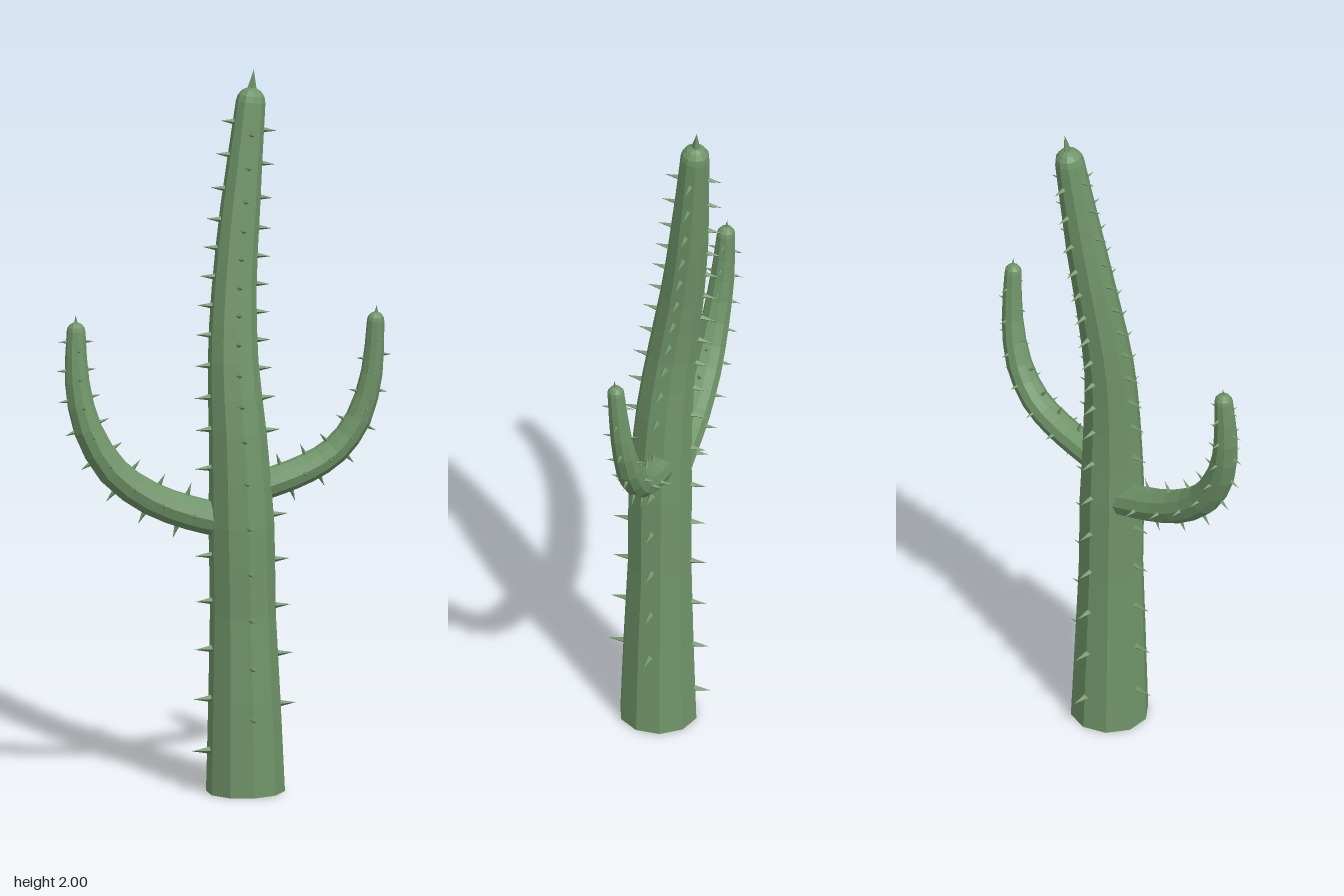
import * as THREE from 'three';
import { mergeGeometries } from 'three/addons/utils/BufferGeometryUtils.js';

const SIDES = 10;
const Z = new THREE.Vector3(0, 0, 1);
const UP = new THREE.Vector3(0, 1, 0);

// Centre line through [x, y, z, radius] stations, with a frame and radius at any t
function makeLimb(stations) {
  const curve = new THREE.CatmullRomCurve3(stations.map(([x, y, z]) => new THREE.Vector3(x, y, z)));
  const last = stations.length - 1;
  const frame = (t) => {
    const i = Math.min(Math.floor(t * last), last - 1);
    const r = THREE.MathUtils.lerp(stations[i][3], stations[i + 1][3], t * last - i);
    const tangent = curve.getTangent(t);
    const front = Z.clone().addScaledVector(tangent, -Z.dot(tangent)).normalize();
    const side = tangent.clone().cross(front);
    return { p: curve.getPoint(t), r, tangent, front, side };
  };
  return { frame, last };
}

// Radial direction in a frame; angle 0 is the side, 90 degrees the front
function radial(f, a) {
  return f.side.clone().multiplyScalar(Math.cos(a)).addScaledVector(f.front, Math.sin(a));
}

// Faceted tapering skin, open at the root and closed by a dome at the tip
function skin({ frame, last }) {
  const pos = [], index = [], rings = [];
  const count = last * 2;
  for (let i = 0; i <= count; i++) rings.push([frame(i / count), 1, 0]);
  for (const a of [0.45, 0.9, 1.25, Math.PI / 2]) rings.push([frame(1), Math.cos(a), Math.sin(a)]);
  rings.forEach(([f, scale, rise], k) => {
    for (let j = 0; j < SIDES; j++) {
      const v = f.p.clone()
        .addScaledVector(radial(f, ((j + 0.5) / SIDES) * Math.PI * 2), f.r * scale)
        .addScaledVector(f.tangent, f.r * rise);
      pos.push(v.x, v.y, v.z);
      if (k === 0) continue;
      const a = (k - 1) * SIDES + j, b = (k - 1) * SIDES + (j + 1) % SIDES;
      index.push(a, a + SIDES, b, b, a + SIDES, b + SIDES);
    }
  });
  const g = new THREE.BufferGeometry();
  g.setAttribute('position', new THREE.Float32BufferAttribute(pos, 3));
  g.setIndex(index);
  g.computeVertexNormals();
  // Face the winding outward whatever the handedness of the frame
  const f = frame(0), n = new THREE.Vector3().fromBufferAttribute(g.attributes.normal, 0);
  if (n.dot(radial(f, Math.PI / SIDES)) < 0) {
    g.setIndex(index.reverse());
    g.computeVertexNormals();
  }
  return g;
}

// One four-sided thorn standing on a point
function thorn(p, dir, length, width) {
  const g = new THREE.ConeGeometry(width, length, 4);
  g.translate(0, length / 2 - 0.006, 0);
  g.applyQuaternion(new THREE.Quaternion().setFromUnitVectors(UP, dir));
  return g.translate(p.x, p.y, p.z);
}

export function createModel() {
  const green = new THREE.MeshStandardMaterial({
    color: 0x6f9468, flatShading: true, side: THREE.DoubleSide,
  });
  const group = new THREE.Group();
  group.name = 'cactus';

  function addLimb(name, stations, columns, spacing, thornSize, tipLength) {
    const limb = makeLimb(stations);
    const body = new THREE.Mesh(skin(limb), green);
    body.name = name;

    // Four columns of thorns, closer together and shorter towards the tip
    const thorns = [];
    columns.forEach((start, c) => {
      for (let t = start; t < 0.985; t += spacing[0] + (spacing[1] - spacing[0]) * t) {
        const f = limb.frame(t), dir = radial(f, (c * Math.PI) / 2);
        const size = THREE.MathUtils.lerp(thornSize[0], thornSize[1], t);
        thorns.push(thorn(f.p.addScaledVector(dir, f.r * 0.95), dir, size, size * 0.2));
      }
    });
    const tip = limb.frame(1);
    thorns.push(thorn(tip.p.addScaledVector(tip.tangent, tip.r), tip.tangent, tipLength, tipLength * 0.25));
    const thornMesh = new THREE.Mesh(mergeGeometries(thorns), green);
    thornMesh.name = name + 'Thorns';
    group.add(body, thornMesh);
  }

  // Leaning trunk
  addLimb('trunk', [
    [0.053, 0, 0.02, 0.109], [0.05, 0.25, 0.02, 0.1], [0.046, 0.5, 0.018, 0.091],
    [0.042, 0.75, 0.018, 0.091], [0.034, 1.0, 0.008, 0.08], [0.026, 1.2, -0.013, 0.07],
    [0.036, 1.4, -0.043, 0.062], [0.06, 1.62, -0.071, 0.055], [0.096, 1.91, -0.098, 0.041],
  ], [0.12, 0.11, 0.06, 0.05], [0.075, 0.036], [0.058, 0.045], 0.055);

  // Arm on the model's right
  addLimb('rightArm', [
    [-0.01, 0.76, 0, 0.048], [-0.1, 0.785, 0, 0.048], [-0.21, 0.83, -0.003, 0.047],
    [-0.315, 0.91, -0.007, 0.045], [-0.385, 1.03, -0.014, 0.04], [-0.412, 1.16, -0.026, 0.034],
    [-0.413, 1.302, -0.036, 0.026],
  ], [0.2, 0.16, 0.2, 0.16], [0.14, 0.085], [0.045, 0.03], 0.025);

  // Arm on the model's left
  addLimb('leftArm', [
    [0.09, 0.85, 0.006, 0.042], [0.15, 0.867, 0.006, 0.042], [0.23, 0.895, 0.004, 0.041],
    [0.31, 0.942, 0.004, 0.039], [0.375, 1.03, 0.01, 0.036], [0.41, 1.16, 0.022, 0.03],
    [0.418, 1.308, 0.034, 0.024],
  ], [0.22, 0.3, 0.2, 0.3], [0.17, 0.1], [0.043, 0.028], 0.025);

  return group;
}
